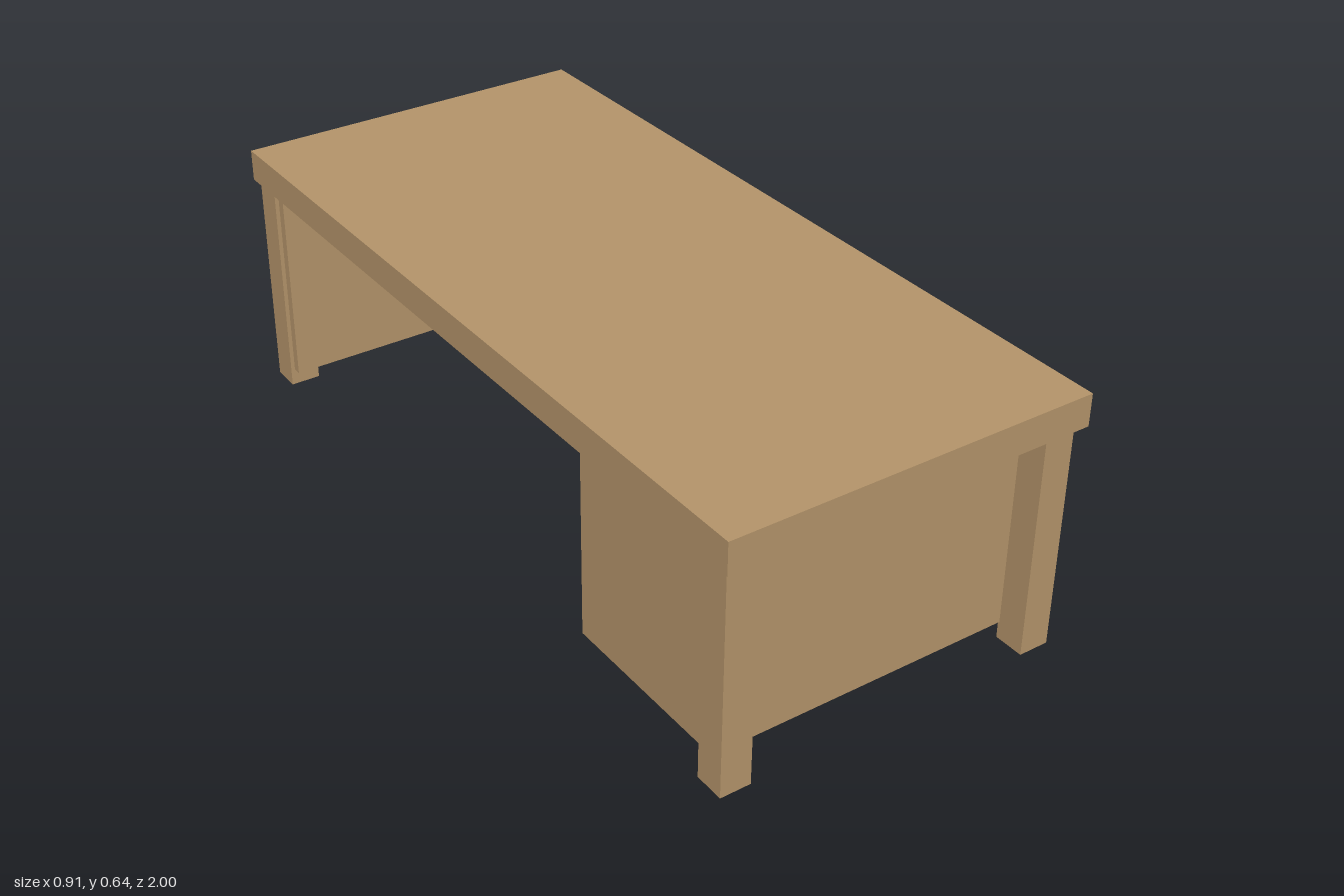
import * as THREE from 'three';

export function createModel() {
  const group = new THREE.Group();
  group.name = 'desk';
  const wood = new THREE.MeshStandardMaterial({ color: 0xb4946a });
  wood.name = 'wood';

  // Box given by its lower and upper limits on each axis
  const addBox = (name, [x0, x1], [y0, y1], [z0, z1]) => {
    const mesh = new THREE.Mesh(new THREE.BoxGeometry(x1 - x0, y1 - y0, z1 - z0), wood);
    mesh.position.set((x0 + x1) / 2, (y0 + y1) / 2, (z0 + z1) / 2);
    mesh.name = name;
    group.add(mesh);
  };

  const topBottom = 0.558;
  const panelBottom = 0.043;

  // Table top
  addBox('tableTop', [-0.457, 0.457], [topBottom, 0.637], [-1, 1]);

  // Four square legs
  for (const [side, x] of [['Right', [-0.447, -0.371]], ['Left', [0.356, 0.432]]]) {
    for (const [end, z] of [['front', [0.909, 0.985]], ['back', [-0.981, -0.906]]]) {
      addBox(`${end}${side}Leg`, x, [0, topBottom], z);
    }
  }

  // Drawer cabinet at the front end, thick side panel at the back end
  addBox('cabinet', [-0.416, 0.421], [panelBottom, topBottom], [0.438, 0.913]);
  addBox('endPanel', [-0.437, 0.442], [panelBottom, topBottom], [-0.966, -0.883]);

  return group;
}
